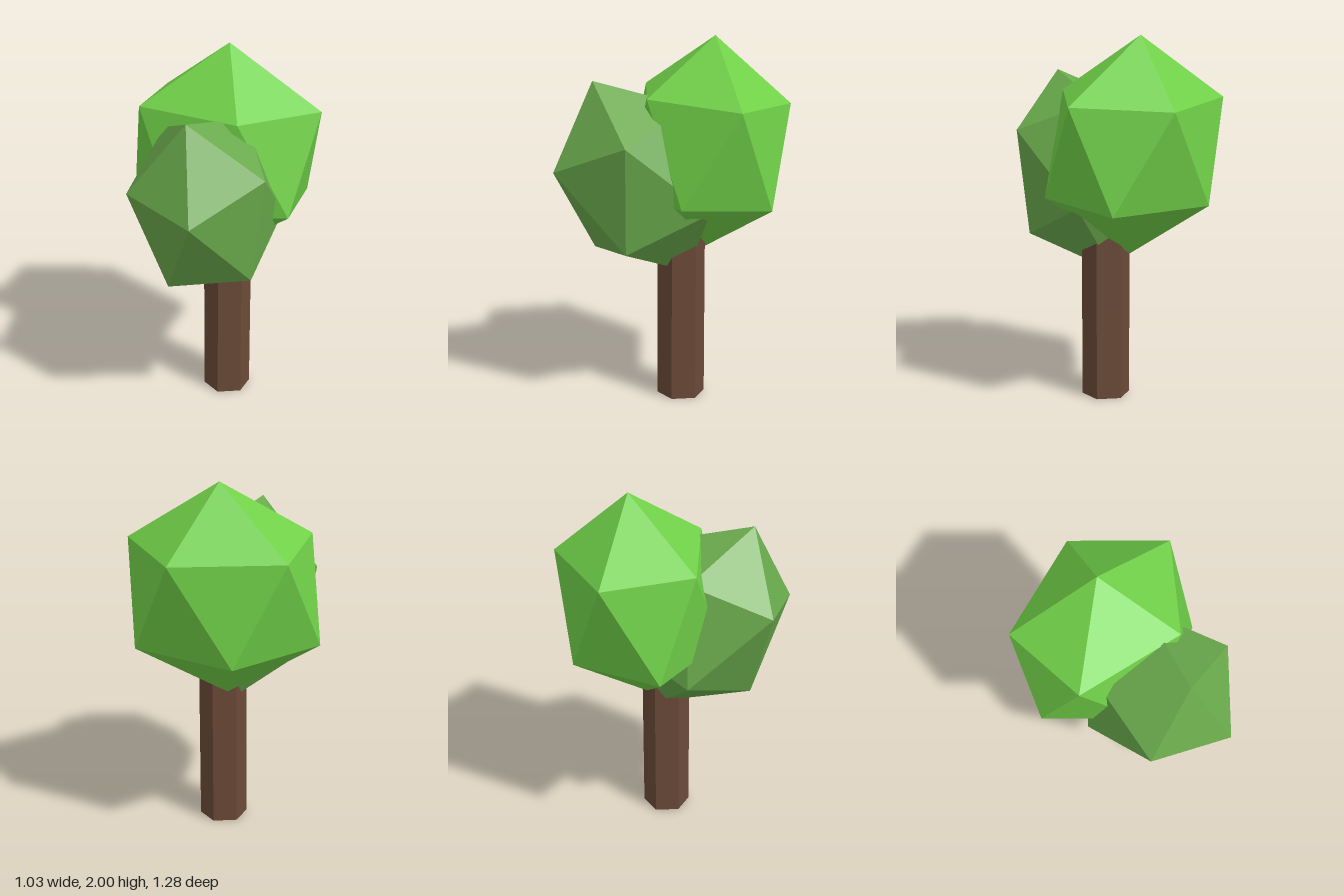
import * as THREE from 'three';
import { ConvexGeometry } from 'three/addons/geometries/ConvexGeometry.js';

const material = (color) => new THREE.MeshStandardMaterial({ color, flatShading: true });
const vec = (p) => new THREE.Vector3(...p);

// Stretched, tilted icosahedron: a tip, a ring of five spanned by two half-axes, and their opposites.
function crown(name, color, centre, tip, axisA, axisB) {
  const t = vec(tip), a = vec(axisA), b = vec(axisB);
  const half = [t];
  for (let k = 0; k < 5; k++) {
    const angle = (k * Math.PI * 2) / 5;
    half.push(t.clone().divideScalar(Math.sqrt(5))
      .addScaledVector(a, Math.cos(angle))
      .addScaledVector(b, Math.sin(angle)));
  }
  const points = [...half, ...half.map((p) => p.clone().negate())];
  const mesh = new THREE.Mesh(new ConvexGeometry(points), material(color));
  mesh.name = name;
  mesh.position.set(...centre);
  return mesh;
}

export function createModel() {
  const tree = new THREE.Group();
  tree.name = 'tree';

  // Six-sided trunk, its top hidden inside the foliage
  const height = 1.2;
  const trunk = new THREE.Mesh(new THREE.CylinderGeometry(0.132, 0.132, height, 6), material(0x6b4a38));
  trunk.name = 'trunk';
  trunk.position.set(0.081, height / 2, -0.052);
  tree.add(trunk);

  // Large bright crown at the back, smaller darker one leaning forward
  tree.add(crown('largeCrown', 0x70d048, [0, 1.405, -0.203],
    [0, 0.595, -0.043], [0.514, -0.006, -0.082], [0.061, 0.029, 0.416]));
  tree.add(crown('smallCrown', 0x6aaa4c, [0.055, 1.24, 0.166],
    [0, 0.535, 0.254], [0.376, 0, 0.003], [0, -0.179, 0.379]));

  return tree;
}
